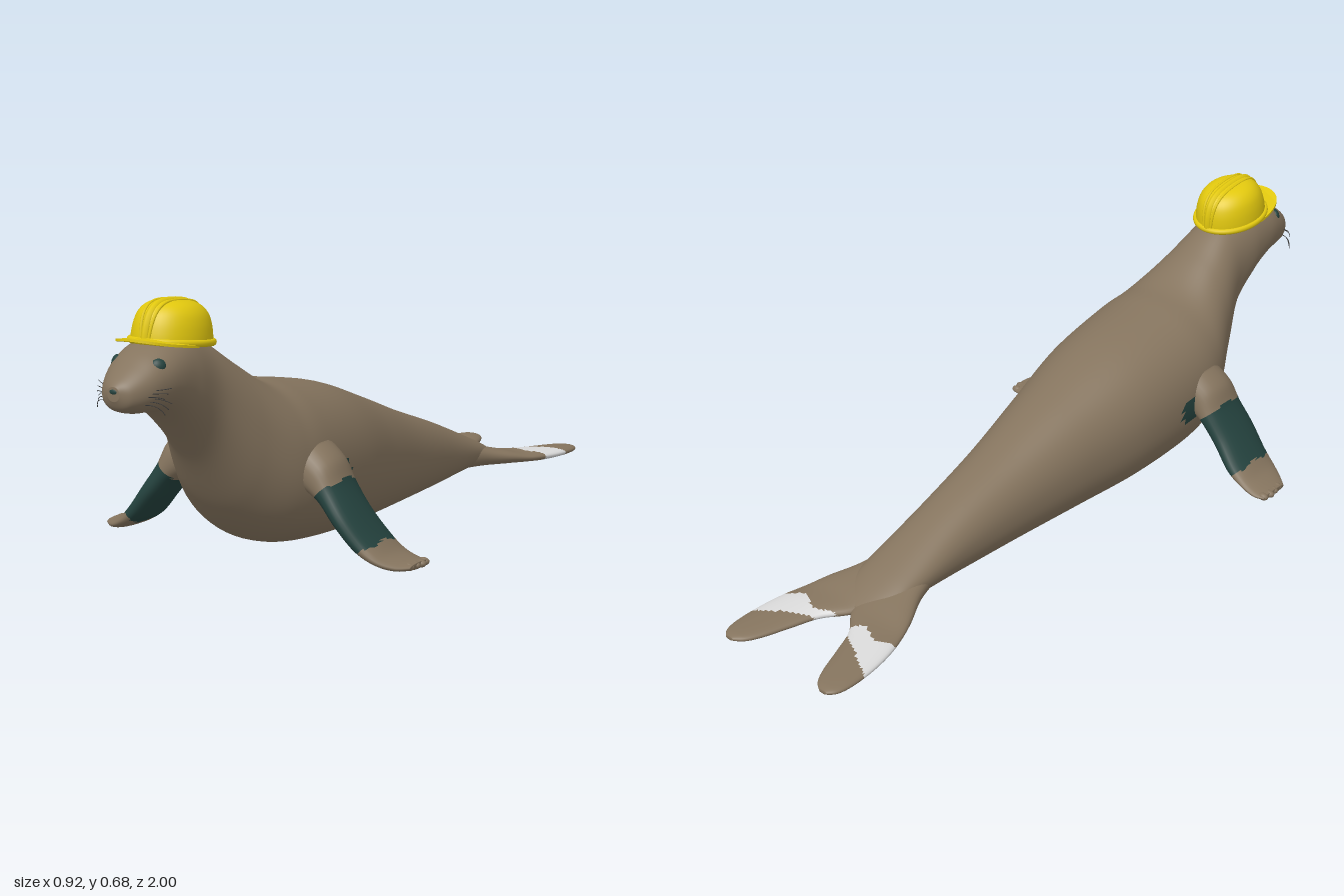
import * as THREE from 'three';

const mat = (name, color, side = THREE.FrontSide) => {
  const m = new THREE.MeshStandardMaterial({ color, side });
  m.name = name;
  return m;
};

// Smooth interpolation of a table of parameter rows at t in 0..1
function sample(rows, t) {
  const f = t * (rows.length - 1), i = Math.min(Math.floor(f), rows.length - 2), u = f - i;
  const at = k => rows[Math.max(0, Math.min(rows.length - 1, k))];
  return rows[0].map((_, c) => {
    const [a, b, d, e] = [at(i - 1)[c], at(i)[c], at(i + 1)[c], at(i + 2)[c]];
    return b + 0.5 * u * (d - a + u * (2 * a - 5 * b + 4 * d - e + u * (3 * (b - d) + e - a)));
  });
}

// Closed skin over interpolated rows; ring(row, cos, sin) gives a surface point.
// paint(x, y, z, t) picks the material index for each triangle.
function loft(name, rows, steps, sides, ring, materials, paint = () => 0) {
  const pos = [], tris = [];
  const rings = Array.from({ length: steps + 1 }, (_, i) => sample(rows, i / steps));
  const bend = v => Math.sign(v) * Math.abs(v) ** 0.92;
  for (const row of rings)
    for (let j = 0; j < sides; j++) {
      const a = (j / sides) * Math.PI * 2;
      pos.push(...ring(row, bend(Math.cos(a)), bend(Math.sin(a))));
    }
  for (let i = 0; i < steps; i++)
    for (let j = 0; j < sides; j++) {
      const k = (j + 1) % sides, a = i * sides + j, b = i * sides + k;
      tris.push([a, b, b + sides, i], [a, b + sides, a + sides, i]);
    }
  // end caps
  for (const [i, flip] of [[0, true], [steps, false]]) {
    const c = pos.length / 3;
    pos.push(...ring(rings[i], 0, 0));
    for (let j = 0; j < sides; j++) {
      const a = i * sides + j, b = i * sides + (j + 1) % sides;
      tris.push(flip ? [b, a, c, i] : [a, b, c, i]);
    }
  }
  // make all faces point outwards
  const p = k => new THREE.Vector3().fromArray(pos, k * 3);
  const volume = tris.reduce((s, [a, b, c]) => s + p(a).dot(p(b).cross(p(c))), 0);
  const groups = materials.map(() => []);
  for (const [a, b, c, i] of tris) {
    const m = p(a).add(p(b)).add(p(c)).divideScalar(3);
    groups[paint(m.x, m.y, m.z, i / steps)].push(...(volume < 0 ? [a, c, b] : [a, b, c]));
  }
  const g = new THREE.BufferGeometry();
  g.setAttribute('position', new THREE.Float32BufferAttribute(pos, 3));
  g.setIndex(groups.flat());
  let start = 0;
  groups.forEach((list, i) => { g.addGroup(start, list.length, i); start += list.length; });
  g.computeVertexNormals();
  const mesh = new THREE.Mesh(g, materials);
  mesh.name = name;
  return mesh;
}

export function createModel() {
  const fur = mat('brown fur', 0x85745e);
  const teal = mat('dark teal', 0x24423e);
  const white = mat('pale patch', 0xdadada);
  const yellow = mat('helmet yellow', 0xe2c80e, THREE.DoubleSide);
  const dark = mat('whisker grey', 0x3a3a3a);
  const model = new THREE.Group();
  model.name = 'seal';
  const add = (parent, name, geometry, material, x = 0, y = 0, z = 0) => {
    const m = new THREE.Mesh(geometry, material);
    m.name = name;
    m.position.set(x, y, z);
    parent.add(m);
    return m;
  };

  // Head, neck and body: z, half width, bottom, top
  const bodyRows = [
    [1.0, 0.016, 0.475, 0.508], [0.985, 0.042, 0.452, 0.523], [0.95, 0.066, 0.44, 0.55],
    [0.91, 0.081, 0.436, 0.577], [0.86, 0.091, 0.428, 0.597], [0.79, 0.094, 0.382, 0.607],
    [0.7, 0.098, 0.29, 0.58], [0.6, 0.142, 0.15, 0.518], [0.5, 0.192, 0.062, 0.459],
    [0.4, 0.208, 0.025, 0.44], [0.2, 0.194, 0.006, 0.402], [0, 0.156, 0.003, 0.335],
    [-0.2, 0.122, 0.005, 0.262], [-0.4, 0.1, 0.012, 0.195], [-0.58, 0.091, 0.028, 0.125],
    [-0.66, 0.08, 0.033, 0.09], [-0.73, 0.045, 0.036, 0.053],
  ];
  model.add(loft('body', bodyRows, 160, 64,
    ([z, w, b, t], c, s) => [w * c, (b + t) / 2 + (t - b) / 2 * s, z], [fur, teal],
    (x, y, z) => (Math.abs(x) > 0.12 && Math.hypot((z - 0.36) / 0.045, (y - 0.217) / 0.036) < 1 ? 1 : 0)));

  // Front flipper: x, y, half thickness, z centre, half breadth
  const armRows = [
    [0.15, 0.262, 0.066, 0.43, 0.075], [0.2, 0.228, 0.058, 0.435, 0.074],
    [0.24, 0.186, 0.038, 0.437, 0.074], [0.285, 0.13, 0.032, 0.44, 0.076],
    [0.335, 0.073, 0.028, 0.432, 0.077], [0.38, 0.042, 0.018, 0.426, 0.073],
    [0.42, 0.028, 0.013, 0.415, 0.062], [0.45, 0.027, 0.008, 0.405, 0.045],
  ];
  // Hind flipper: z, inner x, outer x, bottom, top
  const tailRows = [
    [-0.5, -0.02, 0.075, 0.035, 0.12], [-0.6, -0.02, 0.104, 0.032, 0.095],
    [-0.68, -0.02, 0.145, 0.028, 0.075], [-0.74, -0.003, 0.169, 0.025, 0.06],
    [-0.8, 0.048, 0.187, 0.022, 0.055], [-0.87, 0.077, 0.198, 0.02, 0.05],
    [-0.94, 0.103, 0.2, 0.02, 0.045], [-0.98, 0.125, 0.192, 0.022, 0.041], [-1, 0.15, 0.175, 0.027, 0.036],
  ];

  for (const [side, k] of [['left', 1], ['right', -1]]) {
    // sections lean across the direction of the limb
    model.add(loft(side + 'FrontFlipper', armRows, 64, 32, ([x, y, h, z, w], c, s) => {
      const lean = THREE.MathUtils.smoothstep(x, 0.33, 0.42);
      const angle = THREE.MathUtils.lerp(0.73, 1.45, lean);
      return [k * (x + h * s * Math.cos(angle)), y + h * s * Math.sin(angle), z + w * c];
    }, [fur, teal], (x, y, z, t) => {
      const wave = 0.012 * Math.sin(z * 70);
      const palm = Math.hypot((Math.abs(x) - 0.41) / 0.025, (z - 0.42) / 0.03) < 1 && y < 0.022;
      return (t > 0.25 + wave && t < 0.6 + wave) || palm ? 1 : 0;
    }));

    // Toes
    for (let i = 0; i < 4; i++)
      add(model, side + 'Toe', new THREE.SphereGeometry(1, 12, 8), fur,
        k * (0.444 - 0.004 * Math.abs(i - 1)), 0.027, 0.37 + 0.022 * i).scale.set(0.016, 0.01, 0.011);

    model.add(loft(side + 'HindFlipper', tailRows, 80, 32, ([z, a, b, lo, hi], c, s) =>
      [k * ((a + b) / 2 + (b - a) / 2 * c), (lo + hi) / 2 + (hi - lo) / 2 * s, z],
    [fur, white], (x, y, z) => {
      const out = (Math.abs(x) - 0.08) / 0.12;
      return z < -0.785 + 0.012 * Math.sin(x * 60) && z > -0.83 - 0.07 * out ? 1 : 0;
    }));

    // Eyes
    const eye = add(model, side + 'Eye', new THREE.SphereGeometry(1, 20, 12), teal, k * 0.06, 0.549, 0.91);
    eye.scale.set(0.017, 0.016, 0.009);
    eye.rotation.set(-0.35, k * 0.75, 0, 'YXZ');

    // Whiskers
    for (let i = 0; i < 6; i++) {
      const y = 0.465 + 0.006 * i, z = 0.955 - 0.008 * (i % 3);
      const curve = new THREE.QuadraticBezierCurve3(
        new THREE.Vector3(k * 0.055, y, z),
        new THREE.Vector3(k * 0.088, y + 0.004, z - 0.005),
        new THREE.Vector3(k * (0.095 + 0.004 * (i % 3)), y - 0.022 + 0.006 * i, z - 0.02));
      add(model, side + 'Whisker', new THREE.TubeGeometry(curve, 8, 0.0009, 4), dark);
    }
  }

  // Nose
  add(model, 'nose', new THREE.SphereGeometry(1, 20, 12), teal, 0, 0.497, 0.995).scale.set(0.015, 0.008, 0.007);

  // Hard hat, tipped slightly back
  const helmet = new THREE.Group();
  helmet.name = 'helmet';
  helmet.position.set(0, 0.583, 0.775);
  helmet.rotation.x = -0.11;
  model.add(helmet);
  const RX = 0.089, RY = 0.096, RZ = 0.108;
  const profile = [[1, 0], [0.985, 0.2], [0.94, 0.45], [0.85, 0.68], [0.7, 0.85], [0.5, 0.95], [0.25, 0.99], [0, 1]]
    .map(([r, y]) => new THREE.Vector3(r, y, 0));
  const arc = new THREE.CatmullRomCurve3(profile).getPoints(28).map(p => new THREE.Vector2(Math.max(0, p.x), p.y));
  add(helmet, 'helmetShell', new THREE.LatheGeometry(arc, 48).scale(RX, RY, RZ), yellow);

  // Crown ridges running front to back
  for (const [x, r] of [[0, 0.011], [-0.02, 0.004], [0.02, 0.004]]) {
    const path = [...arc.map(p => [p.x, p.y]), ...arc.slice(0, -1).reverse().map(p => [-p.x, p.y])]
      .filter((_, i) => i % 4 === 0)
      .map(([c, y]) => new THREE.Vector3(x * (0.55 + 0.45 * y), RY * y * (x ? 0.985 : 0.94), RZ * c * (x ? 0.985 : 0.96)));
    add(helmet, 'helmetRidge', new THREE.TubeGeometry(new THREE.CatmullRomCurve3(path), 48, r, 8), yellow);
  }

  // Rolled rim
  add(helmet, 'helmetRim', new THREE.TorusGeometry(1, 0.075, 10, 56)
    .rotateX(Math.PI / 2).scale(0.09, 0.11, 0.108), yellow);

  // Peak over the brow, drooping at its sides
  const peak = new THREE.Shape();
  peak.moveTo(-0.092, 0.02);
  peak.bezierCurveTo(-0.09, 0.11, -0.06, 0.162, 0, 0.162);
  peak.bezierCurveTo(0.06, 0.162, 0.09, 0.11, 0.092, 0.02);
  peak.bezierCurveTo(0.08, 0.125, -0.08, 0.125, -0.092, 0.02);
  const peakGeo = new THREE.ExtrudeGeometry(peak, { depth: 0.006, bevelEnabled: false, curveSegments: 24 });
  peakGeo.rotateX(Math.PI / 2);
  const pp = peakGeo.attributes.position;
  for (let i = 0; i < pp.count; i++) pp.setY(i, pp.getY(i) + 0.007 - 1.2 * pp.getX(i) ** 2);
  peakGeo.computeVertexNormals();
  add(helmet, 'helmetPeak', peakGeo, yellow);

  return model;
}
